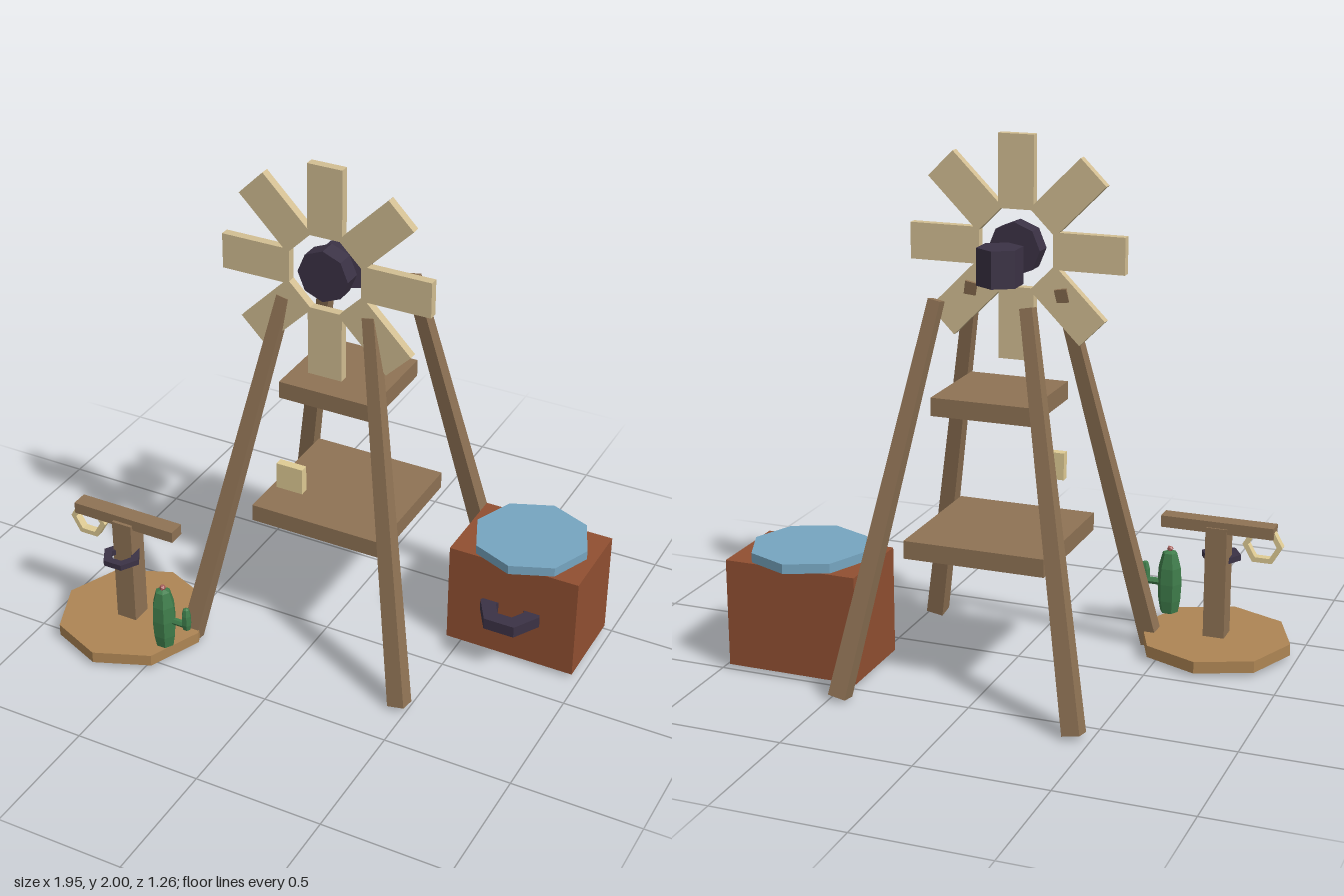
import * as THREE from 'three';

const mat = (color) => new THREE.MeshStandardMaterial({ color, flatShading: true });

const WOOD = mat(0x8e7254);
const PALE = mat(0xd2be92);
const CREAM = mat(0xdfcb94);
const DARK = mat(0x3b3245);
const RED = mat(0x904f31);
const BLUE = mat(0x76a5c0);
const TAN = mat(0xad8554);
const GREEN = mat(0x3f7d4b);
const PINK = mat(0xa8605c);

function add(parent, name, geometry, material, x, y, z) {
  const mesh = new THREE.Mesh(geometry, material);
  mesh.name = name;
  mesh.position.set(x, y, z);
  parent.add(mesh);
  return mesh;
}

const box = (w, h, d) => new THREE.BoxGeometry(w, h, d);
const prism = (r, h, sides) => new THREE.CylinderGeometry(r, r, h, sides);

// Six-sided ring of rectangular section, lying in the xy plane
function hexRing(outer, inner, depth) {
  const corners = (r) => Array.from({ length: 6 }, (_, i) =>
    new THREE.Vector2(r * Math.cos(i * Math.PI / 3), r * Math.sin(i * Math.PI / 3)));
  const shape = new THREE.Shape(corners(outer));
  shape.holes.push(new THREE.Path(corners(inner).reverse()));
  return new THREE.ExtrudeGeometry(shape, { depth, bevelEnabled: false }).translate(0, 0, -depth / 2);
}

// Square beam between two points, tapering from one width to another
function taperedBeam(from, to, wideEnd, thinEnd) {
  const dir = to.clone().sub(from);
  const geometry = new THREE.CylinderGeometry(thinEnd / Math.SQRT2, wideEnd / Math.SQRT2, dir.length(), 4);
  geometry.rotateY(Math.PI / 4);
  geometry.applyQuaternion(new THREE.Quaternion().setFromUnitVectors(
    new THREE.Vector3(0, 1, 0), dir.normalize()));
  return geometry;
}

function createTower() {
  const tower = new THREE.Group();
  tower.name = 'windmillTower';
  tower.position.set(0.014, 0, -0.147);

  // Four splayed legs
  for (const sx of [-1, 1]) {
    for (const sz of [-1, 1]) {
      const foot = new THREE.Vector3(sx * 0.45, 0.015, sz * 0.45);
      const head = new THREE.Vector3(sx * 0.172, 1.452, sz * 0.172);
      const mid = foot.clone().add(head).multiplyScalar(0.5);
      add(tower, (sz > 0 ? 'front' : 'back') + (sx > 0 ? 'Left' : 'Right') + 'Leg',
        taperedBeam(foot, head, 0.068, 0.047), WOOD, mid.x, mid.y, mid.z);
    }
  }

  // Platforms and the motor block behind the wheel
  add(tower, 'upperPlatform', box(0.382, 0.068, 0.382), WOOD, 0, 1.064, 0);
  add(tower, 'lowerPlatform', box(0.54, 0.068, 0.54), WOOD, 0, 0.54, 0);
  add(tower, 'motorBlock', prism(0.085, 0.137, 6), DARK, 0, 1.552, 0);
  add(tower, 'signPlate', box(0.108, 0.105, 0.033), CREAM, -0.104, 0.748, 0.261);
  return tower;
}

function createWheel() {
  const wheel = new THREE.Group();
  wheel.name = 'windWheel';
  wheel.position.set(0.014, 1.585, 0.028);

  // Eight blades around an open centre
  const inner = 0.143, outer = 0.415;
  for (let i = 0; i < 8; i++) {
    const blade = box(0.137, outer - inner, 0.034).translate(0, (inner + outer) / 2, 0);
    add(wheel, 'blade', blade, PALE, 0, 0, 0).rotation.z = i * Math.PI / 4;
  }
  add(wheel, 'hub', prism(0.1, 0.07, 8).rotateX(Math.PI / 2), DARK, 0, 0, -0.002);
  return wheel;
}

function createCrate() {
  const crate = new THREE.Group();
  crate.name = 'crate';
  crate.position.set(0.709, 0, -0.324);
  add(crate, 'crateBody', box(0.523, 0.416, 0.346), RED, 0, 0.228, 0);
  add(crate, 'crateLid', prism(0.226, 0.037, 8), BLUE, 0, 0.4545, 0);
  add(crate, 'crateHandle', hexRing(0.122, 0.058, 0.046).rotateX(Math.PI / 2), DARK, 0, 0.227, 0.184);
  return crate;
}

function createPost() {
  const post = new THREE.Group();
  post.name = 'hangingPost';
  post.position.set(-0.68, 0, 0.338);
  add(post, 'postBase', prism(0.295, 0.046, 8), TAN, 0, 0.043, 0);
  add(post, 'upright', box(0.083, 0.445, 0.085), WOOD, -0.003, 0.283, 0.003);
  add(post, 'crossbeam', box(0.438, 0.045, 0.066), WOOD, -0.003, 0.507, 0);
  add(post, 'hangingRing', hexRing(0.077, 0.055, 0.032), CREAM, -0.178, 0.452, -0.003);
  add(post, 'postRing', hexRing(0.077, 0.043, 0.023).rotateX(Math.PI / 2), DARK, 0, 0.366, 0.059);
  return post;
}

function createCactus() {
  const cactus = new THREE.Group();
  cactus.name = 'cactus';
  cactus.position.set(-0.456, 0, 0.464);

  // Six-sided rounded columns for the trunk and its arm
  const column = (points) => new THREE.LatheGeometry(
    points.map(([r, y]) => new THREE.Vector2(r, y)), 6).rotateY(Math.PI / 6);
  add(cactus, 'cactusTrunk', column([[0, 0.066], [0.036, 0.08], [0.045, 0.13], [0.049, 0.2],
    [0.045, 0.265], [0.029, 0.325], [0, 0.336]]), GREEN, 0, 0, 0);
  add(cactus, 'cactusArm', prism(0.014, 0.07, 6).rotateZ(Math.PI / 2), GREEN, 0.068, 0.198, 0);
  add(cactus, 'cactusArmTip', column([[0, 0.176], [0.015, 0.182], [0.02, 0.205], [0.019, 0.245],
    [0.012, 0.272], [0, 0.277]]), GREEN, 0.1, 0, 0);
  add(cactus, 'cactusBud', new THREE.IcosahedronGeometry(0.013, 0), PINK, 0, 0.34, 0);
  return cactus;
}

export function createModel() {
  const model = new THREE.Group();
  model.name = 'windmillYard';
  model.add(createTower(), createWheel(), createCrate(), createPost(), createCactus());
  return model;
}
